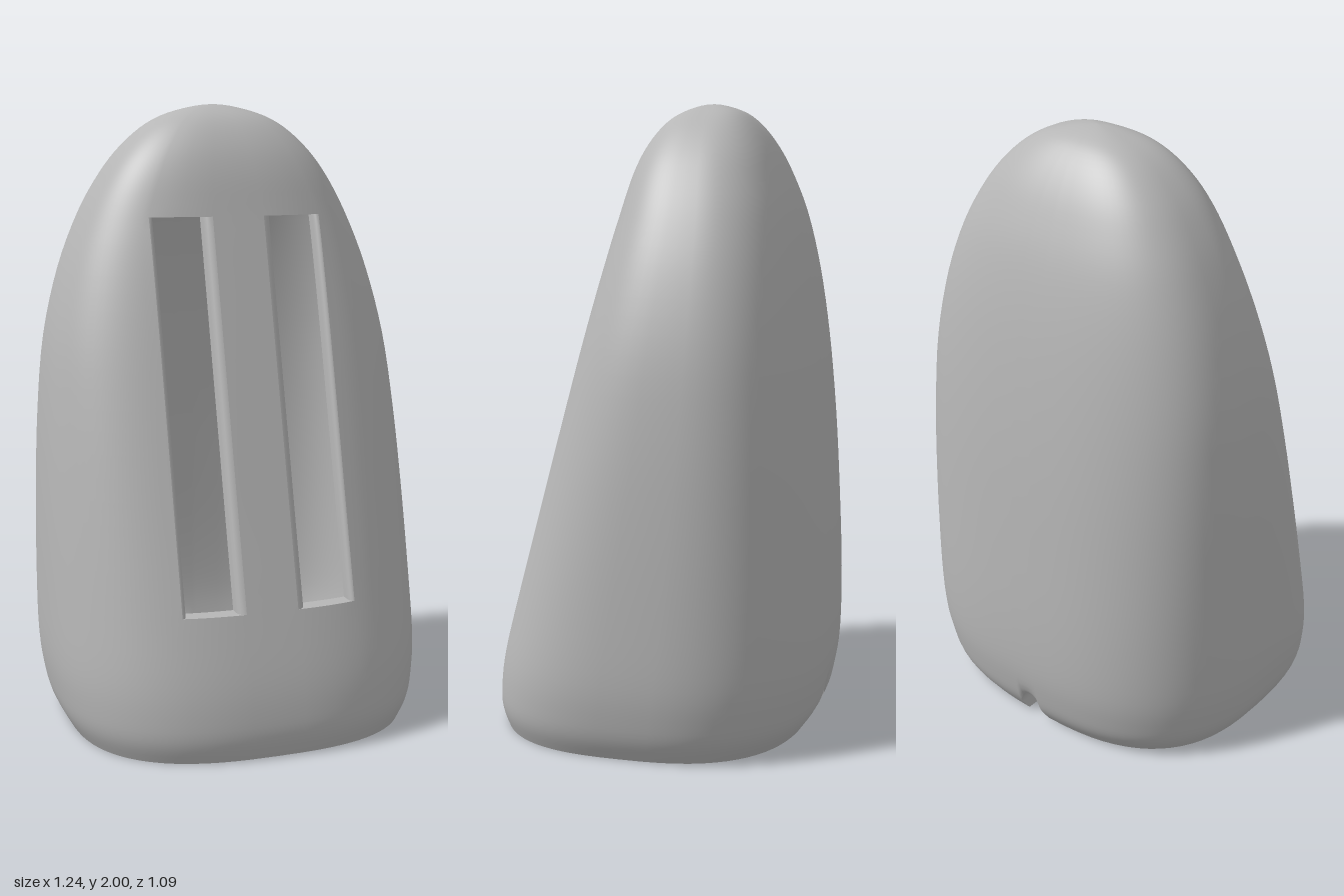
import * as THREE from 'three';

const grey = new THREE.MeshStandardMaterial({ color: 0xb6b6b6, side: THREE.DoubleSide });
grey.name = 'plain grey';

// Profile rows: height, half width, front z, back z. The last row mirrors past the crown.
const PROFILE = [
  [0, .553, .525, -.466], [.06, .585, .541, -.505], [.13, .603, .54, -.525], [.25, .617, .52, -.541],
  [.45, .617, .467, -.542], [.72, .61, .392, -.53], [1, .595, .315, -.512], [1.25, .568, .246, -.487],
  [1.47, .515, .185, -.455], [1.65, .445, .135, -.415], [1.78, .372, .098, -.368], [1.87, .3, .058, -.323],
  [1.94, .215, .005, -.27], [1.98, .12, -.055, -.215], [2, 0, -.13, -.13], [1.98, -.12, -.215, -.055],
];
const SUB = 4, ROWS = 14 * SUB;                    // sampled rows up to the crown
const SLOT_LOW = 4 * SUB, SLOT_HIGH = 9 * SUB;     // rows where the slots end
const NOTCH_ROW = SUB, NOTCH_R = .045;             // cable notch at the back
const lerp = THREE.MathUtils.lerp;

// Smooth cross-section data for one row, on the outer skin or the inner one
function section(j, inner) {
  const u = j / SUB, k = Math.min(Math.floor(u), 13), f = u - k;
  const at = i => PROFILE[Math.max(i, 0)];
  let [y, w, zf, zb] = [0, 1, 2, 3].map(c => {
    const p = [k - 1, k, k + 1, k + 2].map(i => at(i)[c]);
    const m0 = (p[2] - p[0]) / 2, m1 = (p[3] - p[1]) / 2;
    return p[1] + f * (m0 + f * (3 * (p[2] - p[1]) - 2 * m0 - m1 + f * (2 * (p[1] - p[2]) + m0 + m1)));
  });
  let zc = (zf + zb) / 2, d = (zf - zb) / 2;
  if (inner) {
    w -= Math.min(.055, .2 * w);
    d -= Math.min(.058, .22 * d);
    if (y > 1.65) y = 1.65 + (y - 1.65) * .85;
  }
  return { y, w: Math.max(w, 1e-4), d: Math.max(d, 1e-4), zc, n: inner ? 3 : 2.7 };
}

const surfaceZ = (s, x, side) =>
  s.zc + side * s.d * Math.pow(Math.max(0, 1 - Math.pow(Math.abs(x) / s.w, s.n)), 1 / s.n);

// One closed ring of points, running front -> left -> back -> right
function ring(j, inner) {
  const s = section(j, inner);
  const front = inner ? [0, .11, .15, .19, .23, .27] : [0, .085, .135, .185, .235, .285];
  const back = [0, .016, .032, NOTCH_R];
  const quarter = (xs, side, steps) => {
    const scale = Math.min(1, s.w / (inner ? .38 : .445));
    const pts = xs.map(x => new THREE.Vector3(x * scale, s.y, surfaceZ(s, x * scale, side)));
    const start = Math.asin(Math.pow(xs.at(-1) * scale / s.w, s.n / 2));
    for (let i = 1; i <= steps; i++) {
      const a = lerp(start, Math.PI / 2, i / steps);
      pts.push(new THREE.Vector3(s.w * Math.pow(Math.sin(a), 2 / s.n), s.y,
        s.zc + side * s.d * Math.pow(Math.max(0, Math.cos(a)), 2 / s.n)));
    }
    return pts;
  };
  const backPts = quarter(back, -1, 18);
  // Bend the rows near the notch into an arch
  if (j >= NOTCH_ROW && s.y < .16) for (let i = 0; i < 3; i++)
    backPts[i].y += Math.sqrt(NOTCH_R ** 2 - back[i] ** 2) * (1 - (s.y - .06) / .1);
  const half = [...quarter(front, 1, 16), ...backPts.reverse().slice(1)];
  const mirrored = half.slice(1, -1).reverse().map(p => new THREE.Vector3(-p.x, p.y, p.z));
  return [...half, ...mirrored];
}

// Surface from rows of points; skip(j, i) leaves a cell open
function gridMesh(name, rows, { closed = false, flip = false, skip = () => false } = {}) {
  const n = rows[0].length, index = [];
  for (let j = 0; j < rows.length - 1; j++) for (let i = 0; i < (closed ? n : n - 1); i++) {
    if (skip(j, i)) continue;
    const a = j * n + i, b = j * n + (i + 1) % n, c = b + n, d = a + n;
    index.push(...(flip ? [a, c, b, a, d, c] : [a, b, c, a, c, d]));
  }
  const geo = new THREE.BufferGeometry().setFromPoints(rows.flat());
  geo.setIndex(index);
  geo.computeVertexNormals();
  const mesh = new THREE.Mesh(geo, grey);
  mesh.name = name;
  return mesh;
}

// Rounded lip of a slot: [sideways fraction, depth fraction]
const LIP = [0, 1, 2, 3, 4].map(k => {
  const a = k / 4 * Math.PI / 2;
  return [Math.sin(a), .5 * (1 - Math.cos(a))];
}).concat([[1, 1]]);

function slotPoint(j, side, across, [fx, depth]) {
  const x = lerp(lerp(.085, .11, fx), lerp(.285, .27, fx), across);
  const o = section(j, false), i = section(j, true);
  return new THREE.Vector3(side * x, o.y, lerp(surfaceZ(o, x, 1), surfaceZ(i, x, 1), depth));
}

function roundedRect(shape, w, h, r) {
  const x = w / 2 - r, y = h / 2 - r;
  [[x, y], [-x, y], [-x, -y], [x, -y]].forEach(([cx, cy], q) =>
    shape.absarc(cx, cy, r, q * Math.PI / 2, (q + 1) * Math.PI / 2, false));
  return shape;
}

export function createModel() {
  const model = new THREE.Group();
  model.name = 'hollowHousing';

  const outer = [], inner = [];
  for (let j = 0; j <= ROWS; j++) { outer.push(ring(j, false)); inner.push(ring(j, true)); }
  const n = outer[0].length, mid = n / 2;

  // Shell skins with two front slots and the rear notch left open
  const inNotch = i => i >= mid - 3 && i < mid + 3;
  const skip = (j, i) => {
    const front = (i >= 1 && i < 5) || (i >= n - 5 && i < n - 1);
    return (front && j >= SLOT_LOW && j < SLOT_HIGH) || (inNotch(i) && j < NOTCH_ROW);
  };
  model.add(gridMesh('outerShell', outer, { closed: true, skip }));
  model.add(gridMesh('innerShell', inner, { closed: true, flip: true, skip }));

  // Bottom rim
  model.add(gridMesh('bottomRim', [inner[0], outer[0]], { closed: true, skip: (j, i) => inNotch(i) }));

  // Notch edge: up one side, over the arch, down the other
  const path = [];
  for (let j = 0; j < NOTCH_ROW; j++) path.push([j, mid - 3]);
  for (let i = mid - 3; i <= mid + 3; i++) path.push([NOTCH_ROW, i]);
  for (let j = NOTCH_ROW - 1; j >= 0; j--) path.push([j, mid + 3]);
  model.add(gridMesh('cableNotch', [outer, inner].map(s => path.map(([j, i]) => s[j][i])), { flip: true }));

  // Slot walls and ends
  for (const side of [1, -1]) {
    const slot = new THREE.Group();
    slot.name = side > 0 ? 'leftSlot' : 'rightSlot';
    for (const across of [0, 1]) {
      const rows = [];
      for (let j = SLOT_LOW; j <= SLOT_HIGH; j++) rows.push(LIP.map(l => slotPoint(j, side, across, l)));
      slot.add(gridMesh('slotWall', rows, { flip: (side > 0) === (across === 1) ? false : true }));
    }
    for (const j of [SLOT_LOW, SLOT_HIGH]) {
      const rows = LIP.map(l => [0, .25, .5, .75, 1].map(a => slotPoint(j, side, a, l)));
      slot.add(gridMesh('slotEnd', rows, { flip: (side > 0) === (j === SLOT_LOW) }));
    }
    model.add(slot);
  }

  // Rounded square frame on the inside of the front wall
  const shape = roundedRect(new THREE.Shape(), .32, .27, .06);
  shape.holes.push(roundedRect(new THREE.Path(), .27, .22, .045));
  const frame = new THREE.Mesh(new THREE.ExtrudeGeometry(shape, { depth: .04, bevelEnabled: false }), grey);
  frame.name = 'innerFrame';
  frame.position.set(0, .23, .425);
  frame.rotation.x = -.27;
  model.add(frame);

  // Small screw posts inside the rim
  for (const x of [-.385, .385]) for (const z of [-.315, .34]) {
    const post = new THREE.Mesh(new THREE.CylinderGeometry(.025, .025, .08, 16), grey);
    post.name = 'screwPost';
    post.position.set(x, .045, z);
    model.add(post);
  }
  return model;
}
